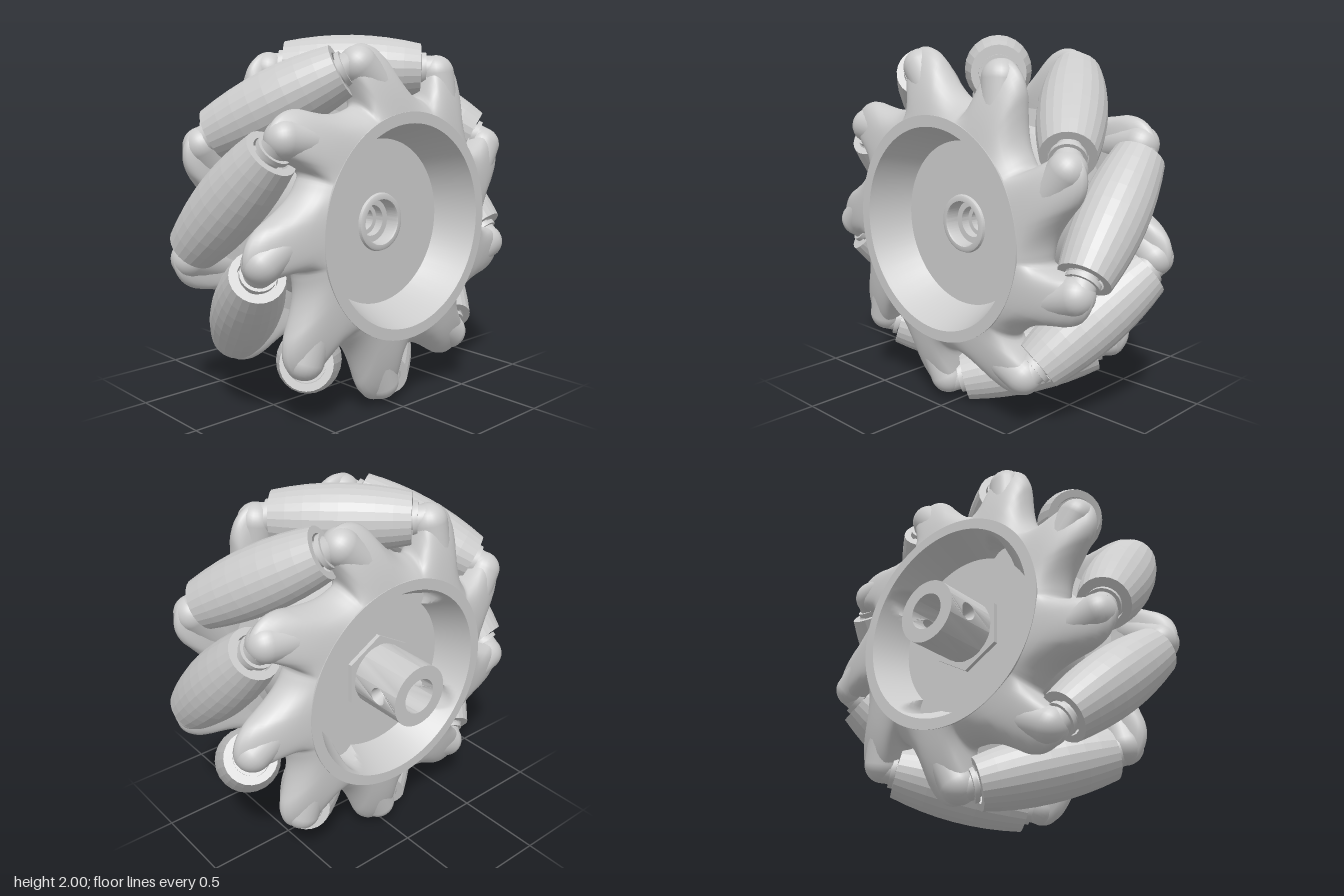
import * as THREE from 'three';
import { toCreasedNormals } from 'three/addons/utils/BufferGeometryUtils.js';

const COUNT = 9, MID_Z = 0.07, DEG = Math.PI / 180;
const PHASE = -1.5 * DEG; // roller offset from straight up
const HALF = 0.37; // half length of a roller
const smooth = new THREE.MeshStandardMaterial({ color: 0xcccccc });
const faceted = new THREE.MeshStandardMaterial({ color: 0xcccccc, flatShading: true });

function mesh(name, geometry, material = smooth) {
  const m = new THREE.Mesh(geometry, material);
  m.name = name;
  return m;
}

// Lathe from [radius, height] pairs around y
function lathe(points, segments) {
  return new THREE.LatheGeometry(points.map(p => new THREE.Vector2(...p)), segments);
}

// Hub body: dished on both sides, with a stepped bore and four scoops in the rear dish
function hubBody() {
  const rearWall = [];
  for (let i = 1; i <= 10; i++) rearWall.push([0.45 + 0.009 * i, -0.2 - 0.02 * i]);
  const profile = [
    [0.06, -0.2], [0.45, -0.2], ...rearWall,
    [0.6, -0.4], [0.6, -0.18], [0.5, -0.16],
    [0.47, -0.12], [0.47, 0.26],
    [0.5, 0.3], [0.6, 0.32], [0.6, 0.54],
    [0.54, 0.54], [0.53, 0.51], [0.455, 0.32], [0.45, 0.31],
    [0.16, 0.31], [0.155, 0.325], [0.145, 0.33], [0.125, 0.33], [0.12, 0.32],
    [0.12, 0.25], [0.085, 0.25], [0.085, 0.2], [0.06, 0.2], [0.06, -0.2],
  ];
  const g = lathe(profile, 180).rotateX(Math.PI / 2);
  const p = g.attributes.position;
  for (let i = 0; i < p.count; i++) {
    const x = p.getX(i), y = p.getY(i), z = p.getZ(i), r = Math.hypot(x, y);
    if (z > -0.19 || z < -0.39 || r < 0.44 || r > 0.535) continue;
    const a = Math.atan2(y, x) + 10 * DEG;
    const off = a - (Math.floor(a / (Math.PI / 2)) + 0.5) * Math.PI / 2;
    const side = 0.45 * Math.sin(off);
    if (Math.abs(side) > 0.08) continue;
    const k = Math.max(r, 0.45 + Math.sqrt(0.0064 - side * side)) / r;
    p.setXY(i, x * k, y * k);
  }
  return toCreasedNormals(g, 0.6);
}

// Barrel roller whose surface follows the wheel's outer circle, recessed at the ends
function rollerGeometry() {
  const end = [[0.05, HALF - 0.06], [0.1, HALF - 0.06], [0.1, HALF]];
  const outer = [];
  for (let i = 0; i <= 8; i++) {
    const s = HALF * (i / 4 - 1);
    outer.push([1 - Math.sqrt(0.82 ** 2 + s * s / 2), s]);
  }
  return lathe([...end.map(([r, s]) => [r, -s]), ...outer, ...end.reverse()], 24);
}

// Star plate: rounded cross-sections running from the hub rim out to a leaning, lobed outline
function starPlateGeometry() {
  // One lobe as [degrees, radius]
  const lobe = [
    [33, 0.69], [37, 0.69], [41, 0.7], [45, 0.725], [49, 0.77], [52.5, 0.83], [55.5, 0.893],
    [59, 0.94], [63, 0.965], [67, 0.965], [70, 0.94], [71.5, 0.89], [71.8, 0.82], [72, 0.755], [72.3, 0.71],
  ];
  const pts = [];
  for (let i = 0; i < COUNT; i++) {
    for (const [deg, r] of lobe) {
      const a = (deg + i * 360 / COUNT) * DEG;
      pts.push(new THREE.Vector3(r * Math.cos(a), r * Math.sin(a), 0));
    }
  }
  const n = COUNT * 44, rows = 14, root = 0.585;
  const outline = new THREE.CatmullRomCurve3(pts, true, 'centripetal');
  outline.arcLengthDivisions = 3000;
  const rim = outline.getSpacedPoints(n);
  const pos = [], idx = [];
  for (let i = 0; i < n; i++) {
    const a = 33 * DEG + i / n * Math.PI * 2;
    const fx = root * Math.cos(a), fy = root * Math.sin(a);
    for (let j = 0; j <= rows; j++) {
      const phi = Math.PI * (0.5 - j / rows), f = Math.cos(phi);
      const z = 0.43 - 0.05 * f + 0.11 * (1 - 0.1 * f) * Math.sin(phi);
      pos.push(fx + (rim[i].x - fx) * f, fy + (rim[i].y - fy) * f, z);
      if (j === rows) continue;
      const p = i * (rows + 1) + j, q = (i + 1) % n * (rows + 1) + j;
      idx.push(p, p + 1, q, q, p + 1, q + 1);
    }
  }
  const g = new THREE.BufferGeometry();
  g.setAttribute('position', new THREE.Float32BufferAttribute(pos, 3));
  g.setIndex(idx);
  g.computeVertexNormals();
  return g;
}

// Plate with a rounded knuckle along each lobe that seats a roller's pin
function starPlate(name) {
  const group = new THREE.Group();
  group.name = name;
  group.add(mesh('starPlate', starPlateGeometry()));
  const polar = (deg, r, z) => new THREE.Vector3(r * Math.cos(deg * DEG), r * Math.sin(deg * DEG), z);
  const tip = polar(66, 0.865, 0.385), root = polar(57, 0.67, 0.41);
  const axis = tip.clone().sub(root);
  const g = new THREE.CapsuleGeometry(0.1, axis.length(), 10, 24);
  g.applyQuaternion(new THREE.Quaternion().setFromUnitVectors(new THREE.Vector3(0, 1, 0), axis.normalize()));
  const mid = tip.add(root).multiplyScalar(0.5);
  g.translate(mid.x, mid.y, mid.z);
  for (let i = 0; i < COUNT; i++) {
    const knuckle = mesh('knuckle', g);
    knuckle.rotation.z = i * Math.PI * 2 / COUNT;
    group.add(knuckle);
  }
  return group;
}

// Shaft wall: flat panels bent round the axis, two of them drilled for a cross pin
function shaft() {
  const group = new THREE.Group();
  group.name = 'shaft';
  const R = 0.175, bore = 0.1, zEnd = -0.545, zRoot = -0.2, panels = 10;
  const half = Math.PI / panels * R;
  for (let i = 0; i < panels; i++) {
    const pts = [];
    for (let j = 0; j <= 4; j++) pts.push(new THREE.Vector2(-half + half * j / 2, zEnd));
    for (let j = 4; j >= 0; j--) pts.push(new THREE.Vector2(-half + half * j / 2, zRoot));
    const shape = new THREE.Shape(pts);
    if (i % 5 === 0) {
      shape.holes.push(new THREE.Path().absarc(0, -0.41, 0.05, 0, Math.PI * 2, true));
    }
    const g = new THREE.ExtrudeGeometry(shape, { depth: R - bore, bevelEnabled: false, curveSegments: 12 });
    const p = g.attributes.position;
    for (let k = 0; k < p.count; k++) {
      const a = p.getX(k) / R + i * Math.PI * 2 / panels, r = bore + p.getZ(k);
      p.setXYZ(k, r * Math.cos(a), r * Math.sin(a), p.getY(k));
    }
    group.add(mesh('shaftPanel', toCreasedNormals(g, 0.6)));
  }
  return group;
}

// Hexagonal collar at the shaft root
function collarGeometry() {
  const pts = [];
  for (let i = 0; i < 6; i++) {
    const a = (i + 0.5) * Math.PI / 3;
    pts.push(new THREE.Vector2(0.23 * Math.cos(a), 0.23 * Math.sin(a)));
  }
  const shape = new THREE.Shape(pts);
  shape.holes.push(new THREE.Path().absarc(0, 0, 0.17, 0, Math.PI * 2, true));
  return new THREE.ExtrudeGeometry(shape, { depth: 0.03, bevelEnabled: false }).translate(0, 0, -0.225);
}

export function createModel() {
  const model = new THREE.Group();
  model.name = 'rollerWheel';
  const wheel = new THREE.Group();
  wheel.name = 'wheel';
  wheel.position.y = 1;
  model.add(wheel);

  wheel.add(mesh('hubBody', hubBody()), shaft(), mesh('hexCollar', collarGeometry(), faceted));

  const roller = rollerGeometry();
  const halfPin = [[0.065, 0.375], [0.092, 0.375], [0.092, 0.4], [0.075, 0.4], [0.075, 0.44], [0, 0.44]];
  const pin = toCreasedNormals(lathe([...halfPin.map(([r, s]) => [r, -s]).reverse(), ...halfPin], 24), 0.6);

  // Diagonal rollers on their pins
  for (let i = 0; i < COUNT; i++) {
    const axle = new THREE.Group();
    axle.name = 'axle';
    axle.position.set(0, 0.82, MID_Z);
    axle.quaternion.setFromUnitVectors(new THREE.Vector3(0, 1, 0), new THREE.Vector3(1, 0, 1).normalize());
    axle.add(mesh('roller', roller, faceted), mesh('pin', pin));
    const unit = new THREE.Group();
    unit.name = 'rollerUnit';
    unit.rotation.z = PHASE + i * Math.PI * 2 / COUNT;
    unit.add(axle);
    wheel.add(unit);
  }

  // Front and rear plates; the rear is the front turned half round about a roller's middle
  const rear = starPlate('rearPlate');
  rear.rotation.set(0, Math.PI, -2 * PHASE);
  rear.position.z = MID_Z * 2;
  wheel.add(starPlate('frontPlate'), rear);
  return model;
}
